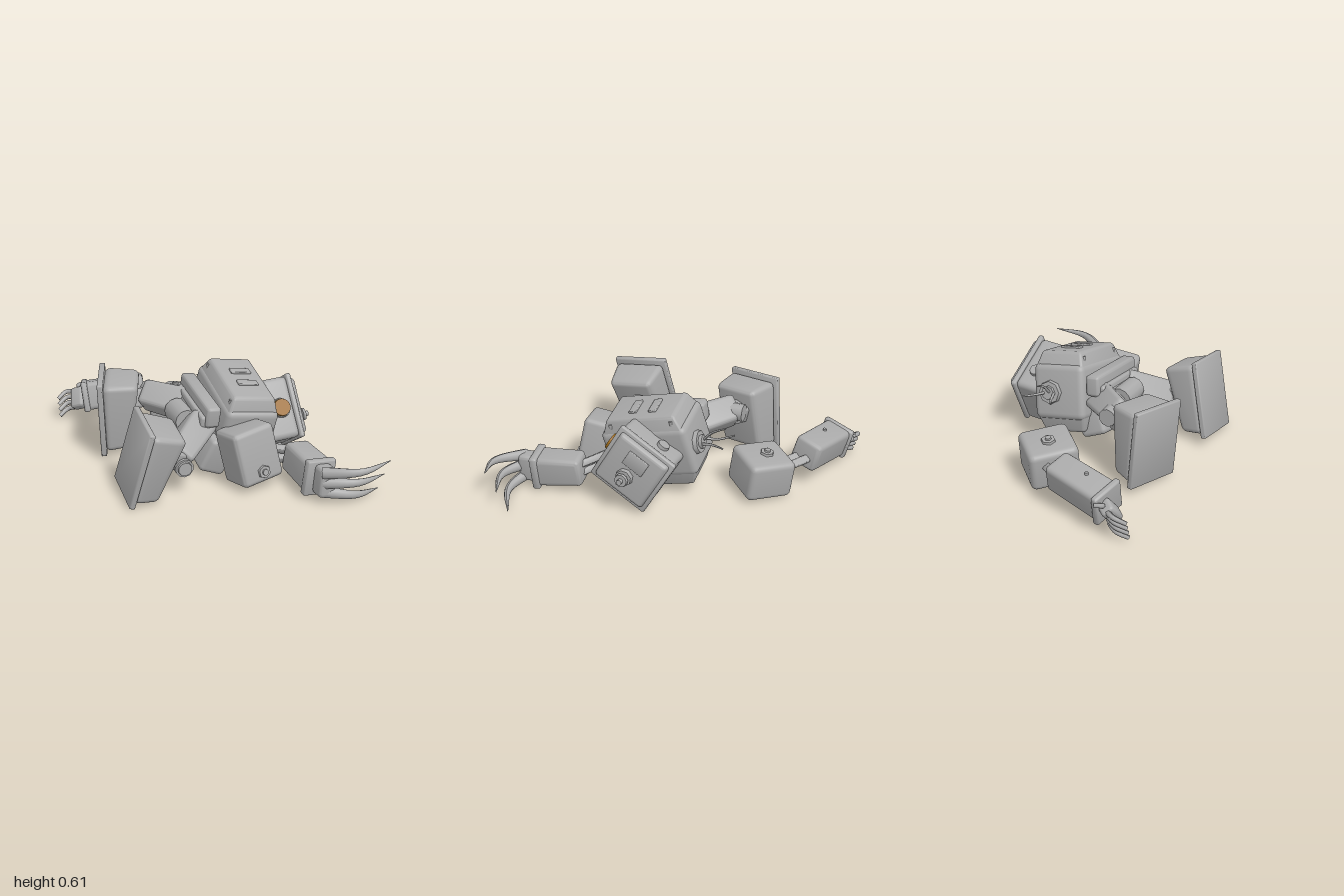
import * as THREE from 'three';
import { RoundedBoxGeometry } from 'three/addons/geometries/RoundedBoxGeometry.js';
import { toCreasedNormals } from 'three/addons/utils/BufferGeometryUtils.js';

const grey = new THREE.MeshStandardMaterial({ color: 0xaaaaaa });
grey.name = 'steel grey';
const amber = new THREE.MeshStandardMaterial({ color: 0x9c6a1a });
amber.name = 'amber lens';
const V = (a) => new THREE.Vector3(...a);

function add(parent, name, geo, pos = [0, 0, 0], rot = [0, 0, 0], mat = grey) {
  const m = new THREE.Mesh(geo, mat);
  m.name = name;
  m.position.set(...pos);
  m.rotation.set(...rot);
  parent.add(m);
  return m;
}

function group(parent, name, pos, rot, order = 'XYZ') {
  const g = new THREE.Group();
  g.name = name;
  g.position.set(...pos);
  g.rotation.set(...rot, order);
  parent.add(g);
  return g;
}

// Rounded box whose top (+y) is scaled by tx, tz
function rbox(w, h, d, r = 0.02, tx = 1, tz = tx) {
  const g = new RoundedBoxGeometry(w, h, d, 3, r);
  const p = g.attributes.position;
  for (let i = 0; i < p.count; i++) {
    const t = p.getY(i) / h + 0.5;
    p.setX(i, p.getX(i) * (1 + (tx - 1) * t));
    p.setZ(i, p.getZ(i) * (1 + (tz - 1) * t));
  }
  return toCreasedNormals(g, 0.6);
}

const disc = (r, h, n = 16) => new THREE.CylinderGeometry(r * 0.92, r, h, n);

// Rounded box running from point a to point b
function bar(parent, name, a, b, w, d, r = 0.02, taper = 1) {
  const A = V(a), B = V(b), dir = B.clone().sub(A);
  const m = add(parent, name, rbox(w, dir.length(), d, r, taper));
  m.position.copy(A.add(B).multiplyScalar(0.5));
  m.quaternion.setFromUnitVectors(new THREE.Vector3(0, 1, 0), dir.normalize());
  return m;
}

// Tube through points, narrowing from radius r to r * end
function taperTube(parent, name, pts, r, end, sides = 8) {
  const curve = new THREE.CatmullRomCurve3(pts.map(V));
  const n = 12, g = new THREE.TubeGeometry(curve, n, r, sides);
  const p = g.attributes.position, v = new THREE.Vector3();
  for (let i = 0; i < p.count; i++) {
    const t = Math.floor(i / (sides + 1)) / n, c = curve.getPointAt(t);
    v.fromBufferAttribute(p, i).sub(c).multiplyScalar(1 + (end - 1) * t ** 1.4).add(c);
    p.setXYZ(i, v.x, v.y, v.z);
  }
  g.computeVertexNormals();
  return add(parent, name, g);
}

function buildTorso(root) {
  const t = group(root, 'torso', [0.1, 0.312, 0.08], [0.24, 0, -0.16]);
  add(t, 'torsoShell', rbox(0.34, 0.34, 0.56, 0.04));
  add(t, 'torsoUpper', rbox(0.33, 0.11, 0.54, 0.02, 0.8, 0.82), [0, 0.19, 0]);
  add(t, 'torsoUnderside', rbox(0.33, 0.12, 0.54, 0.02, 0.8, 0.78), [0, -0.195, 0], [Math.PI, 0, 0]);
  for (const z of [-0.065, 0.065]) add(t, 'ventPlate', rbox(0.13, 0.02, 0.05, 0.005), [0.01, 0.247, z]);
  for (const x of [-0.14, 0.14]) for (const z of [-0.2, 0.2])
    add(t, 'cornerBolt', disc(0.012, 0.03, 8), [x, 0.2, z]);
  // Shoulder sockets, one torn open with loose wires
  for (const s of [-1, 1]) {
    add(t, 'shoulderSocket', disc(0.075, 0.03, 8), [0.05, 0, s * 0.29], [s * Math.PI / 2, 0, 0]);
    add(t, 'socketHub', disc(0.045, 0.05, 8), [0.05, 0, s * 0.3], [s * Math.PI / 2, 0, 0]);
  }
  [[-0.06, -0.03], [0.03, 0.05], [0.14, 0]].forEach(([x, y]) =>
    taperTube(t, 'looseWire', [[0.03 + x * 0.3, 0, -0.31], [0.02 + x * 0.5, y, -0.39], [x, y * 1.4, -0.48]], 0.009, 0.5, 6));
  add(t, 'neck', disc(0.12, 0.14, 16), [0.2, -0.01, 0], [0, 0, -Math.PI / 2]);
}

function buildHead(root) {
  const h = group(root, 'head', [0, 0.247, 0.1], [-0.53, 0, 0.075], 'ZXY');
  const side = [0, 0, -Math.PI / 2];
  add(h, 'headShell', rbox(0.38, 0.22, 0.38, 0.035), [0.33, 0, 0], side);
  add(h, 'headRim', rbox(0.4, 0.035, 0.4, 0.015), [0.445, 0, 0], side);
  add(h, 'headCap', rbox(0.36, 0.05, 0.36, 0.02, 0.92), [0.467, 0, 0], side);
  add(h, 'crownPanel', rbox(0.1, 0.015, 0.14, 0.005), [0.493, 0.07, 0], side);
  add(h, 'crownBoss', disc(0.055, 0.03, 8), [0.505, -0.05, 0.01], side);
  add(h, 'crownStem', disc(0.018, 0.08, 10), [0.54, -0.05, 0.01], side);
  add(h, 'crownKnob', disc(0.042, 0.018, 10), [0.548, -0.05, 0.01], side);
  add(h, 'eyeRing', disc(0.062, 0.02, 24), [0.352, 0, 0.193], [Math.PI / 2, 0, 0]);
  add(h, 'eyeLens', disc(0.056, 0.04, 24), [0.352, 0, 0.2], [Math.PI / 2, 0, 0], amber);
  for (const s of [-1, 1])
    add(h, 'earKnob', disc(0.04, 0.04, 12), [0.35, s * 0.19, -0.06], [s < 0 ? Math.PI : 0, 0, 0]);
}

function buildWaist(root) {
  const w = group(root, 'waist', [0, 0, 0], [0, 0, 0]);
  const tilt = [0.12, 0, -0.1];
  add(w, 'waistCore', rbox(0.24, 0.24, 0.34, 0.03), [-0.09, 0.27, 0.08], tilt);
  add(w, 'waistPlate', rbox(0.09, 0.13, 0.5, 0.02), [-0.115, 0.42, 0.09], tilt);
  add(w, 'waistStep', rbox(0.07, 0.09, 0.46, 0.015), [-0.155, 0.38, 0.09], tilt);
  add(w, 'lowerPlate', rbox(0.17, 0.22, 0.46, 0.03), [-0.08, 0.165, 0.1], [0.2, 0, -0.4]);
  add(w, 'hipBarrel', disc(0.075, 0.2, 12), [-0.23, 0.33, 0.08], [Math.PI / 2, 0, 0]);
}

function buildFoot(root, name, pos, rot) {
  const f = group(root, name, pos, rot, 'ZYX');
  add(f, 'sole', rbox(0.035, 0.48, 0.36, 0.008));
  // Foot block narrows away from the sole and is deeper at one end
  const g = rbox(0.44, 0.17, 0.34, 0.035, 0.94, 0.84).rotateZ(-Math.PI / 2).translate(0.085, 0, 0);
  const p = g.attributes.position;
  for (let i = 0; i < p.count; i++) p.setX(i, p.getX(i) * (1.08 + p.getY(i)));
  add(f, 'footBlock', toCreasedNormals(g, 0.6), [0.015, 0, 0]);
}

function buildLegs(root) {
  buildFoot(root, 'rightFoot', [-0.635, 0.265, 0.443], [0.14, 0, -0.24]);
  buildFoot(root, 'leftFoot', [-0.61, 0.27, -0.32], [0.06, -0.32, 0.03]);
  bar(root, 'rightShin', [-0.15, 0.31, 0.19], [-0.37, 0.2, 0.4], 0.2, 0.18, 0.03, 0.88);
  bar(root, 'rightAnkle', [-0.33, 0.19, 0.39], [-0.52, 0.26, 0.43], 0.12, 0.12);
  add(root, 'rightKneeBarrel', disc(0.06, 0.16, 10), [-0.345, 0.165, 0.4], [Math.PI / 2, 0, 0]);
  add(root, 'rightKneeCap', disc(0.045, 0.02, 10), [-0.345, 0.165, 0.485], [Math.PI / 2, 0, 0]);
  bar(root, 'leftShin', [-0.14, 0.33, -0.06], [-0.36, 0.36, -0.26], 0.18, 0.19, 0.03, 0.88);
  bar(root, 'leftAnkle', [-0.32, 0.35, -0.25], [-0.5, 0.31, -0.31], 0.12, 0.12);
  add(root, 'leftKneeBarrel', disc(0.06, 0.14, 10), [-0.31, 0.37, -0.265], [-Math.PI / 2, 0, 0]);
}

function buildClawArm(root) {
  const a = group(root, 'rightArm', [0, 0, 0], [0, 0, 0]);
  const s = group(a, 'rightShoulder', [0.06, 0.202, 0.462], [-0.18, 0.15, 0.16], 'YXZ');
  add(s, 'shoulderBlock', rbox(0.27, 0.33, 0.25, 0.03));
  add(s, 'shoulderBolt', disc(0.042, 0.02, 6), [0.005, -0.1, 0.13], [Math.PI / 2, 0, 0]);
  add(s, 'boltCore', disc(0.02, 0.035, 10), [0.005, -0.1, 0.133], [Math.PI / 2, 0, 0]);
  for (const y of [0.13, 0.19]) bar(a, 'elbowRod', [0.18, y, 0.39], [0.36, y - 0.01, 0.5], 0.045, 0.045, 0.01);
  bar(a, 'forearm', [0.345, 0.155, 0.47], [0.375, 0.125, 0.77], 0.16, 0.18, 0.03, 1.1);
  bar(a, 'wristFlange', [0.373, 0.127, 0.735], [0.378, 0.124, 0.785], 0.19, 0.22, 0.015);
  bar(a, 'palm', [0.38, 0.125, 0.77], [0.39, 0.125, 0.88], 0.1, 0.18, 0.025);
  const claws = [
    [[0.36, 0.185, 0.85], [0.55, 0.215, 0.97], [0.75, 0.24, 0.93]],
    [[0.36, 0.125, 0.85], [0.55, 0.13, 0.925], [0.75, 0.125, 0.86]],
    [[0.36, 0.065, 0.84], [0.55, 0.037, 0.885], [0.75, 0.005, 0.79]],
  ];
  claws.forEach((c) => taperTube(a, 'claw', c, 0.036, 0.05));
}

function buildLooseArm(root) {
  const a = group(root, 'detachedLeftArm', [0, 0, 0], [0, 0, 0]);
  const b = group(a, 'leftShoulder', [-0.04, 0.147, -0.545], [-0.14, Math.PI / 4, 0]);
  add(b, 'shoulderBlock', rbox(0.3, 0.24, 0.3, 0.035));
  add(b, 'shoulderBolt', disc(0.045, 0.02, 6), [0, 0.125, -0.015]);
  add(b, 'boltCore', disc(0.02, 0.035, 10), [0, 0.13, -0.015]);
  for (const k of [-1, 1])
    bar(a, 'elbowRod', [-0.1 + k * 0.022, 0.16, -0.64 - k * 0.022], [-0.24 + k * 0.022, 0.19, -0.77 - k * 0.022], 0.035, 0.05, 0.01);
  bar(a, 'forearm', [-0.21, 0.215, -0.765], [-0.6, 0.16, -0.865], 0.18, 0.18, 0.03, 1.04);
  bar(a, 'wristFlange', [-0.565, 0.165, -0.856], [-0.605, 0.16, -0.866], 0.2, 0.21, 0.015);
  add(a, 'forearmStud', disc(0.012, 0.02, 8), [-0.44, 0.28, -0.825]);
  bar(a, 'palm', [-0.59, 0.15, -0.87], [-0.66, 0.12, -0.925], 0.14, 0.08, 0.02);
  // Curled fingers and a thumb
  for (let i = 0; i < 4; i++) {
    const y = 0.03 + i * 0.036, z = -i * 0.012;
    taperTube(a, 'finger', [[-0.63, 0.07 + i * 0.03, -0.91 + z], [-0.69, y + 0.02, -0.947 + z], [-0.755, y - 0.015, -0.92 + z]], 0.017, 0.75, 6);
  }
  taperTube(a, 'thumb', [[-0.59, 0.17, -0.92], [-0.61, 0.2, -0.965], [-0.57, 0.2, -0.985]], 0.016, 0.8, 6);
}

export function createModel() {
  const root = new THREE.Group();
  root.name = 'fallenRobot';
  [buildTorso, buildHead, buildWaist, buildLegs, buildClawArm, buildLooseArm].forEach((f) => f(root));
  return root;
}
